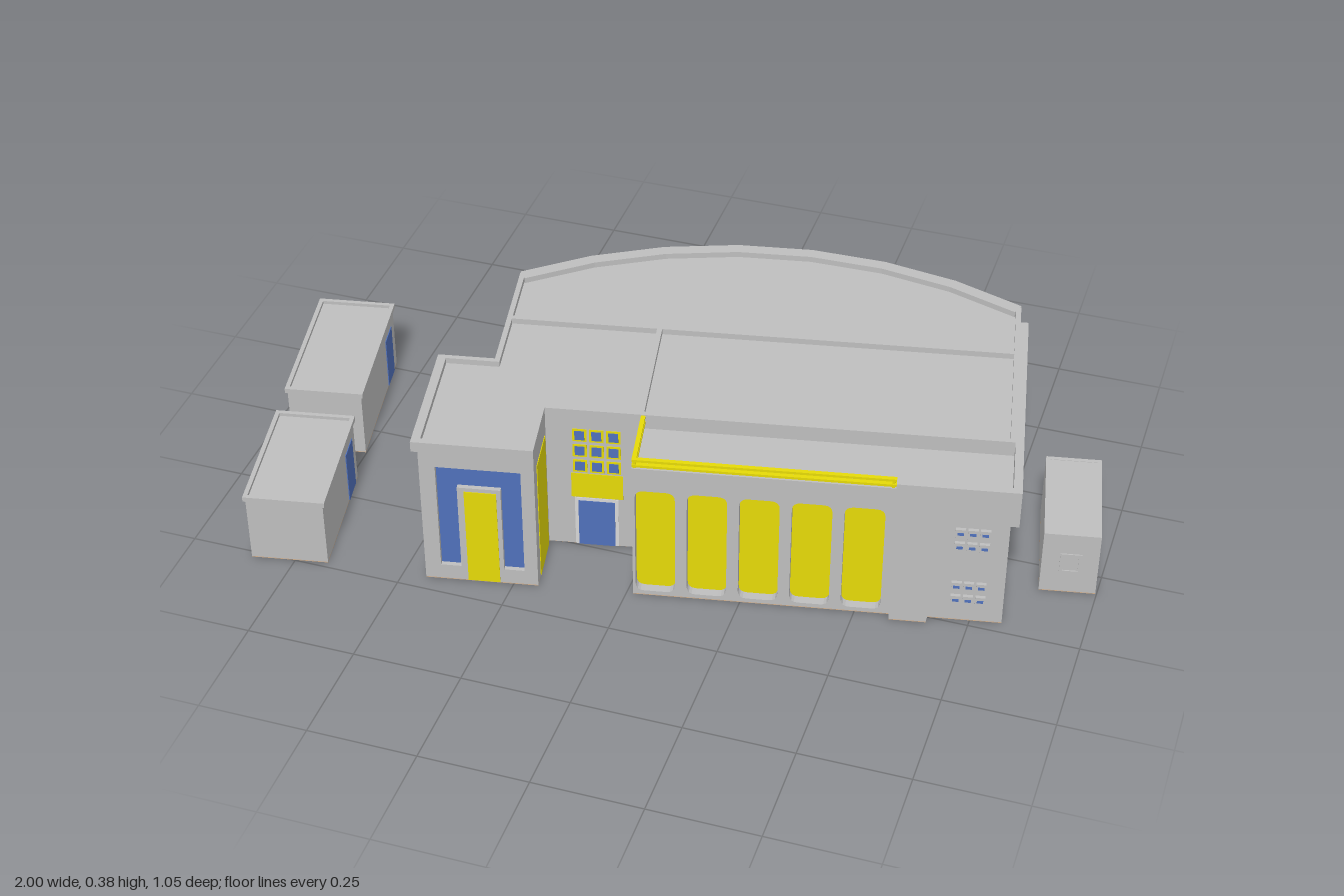
import * as THREE from 'three';

const mat = (name, color) => {
  const m = new THREE.MeshStandardMaterial({ color });
  m.name = name;
  return m;
};

export function createModel() {
  const grey = mat('concrete grey', 0xbebebe);
  const pale = mat('pale frame grey', 0xd6d6d6);
  const yellow = mat('yellow', 0xe6da08);
  const blue = mat('blue', 0x5070ba);
  const brown = mat('foundation brown', 0xcfae8c);

  const root = new THREE.Group();
  const site = new THREE.Group();
  site.name = 'site';
  site.rotation.y = 0.19;
  root.add(site);

  const add = (name, geo, material, parent = site) => {
    const m = new THREE.Mesh(geo, material);
    m.name = name;
    parent.add(m);
    return m;
  };
  // Box given by its two corners
  const box = (name, material, x0, x1, y0, y1, z0, z1, parent = site) => {
    const g = new THREE.BoxGeometry(x1 - x0, y1 - y0, z1 - z0);
    g.translate((x0 + x1) / 2, (y0 + y1) / 2, (z0 + z1) / 2);
    return add(name, g, material, parent);
  };
  const polygon = (pts) => new THREE.Shape(pts.map(([x, y]) => new THREE.Vector2(x, y)));
  // Floor plan (x, z) raised from y0 to y1
  const plan = (name, material, pts, y0, y1) => {
    const g = new THREE.ExtrudeGeometry(polygon(pts.map(([x, z]) => [x, -z])),
      { depth: y1 - y0, bevelEnabled: false });
    g.rotateX(-Math.PI / 2).translate(0, y0, 0);
    return add(name, g, material);
  };
  // Upright wall panel (x, y) with holes, from z0 to z1
  const panel = (name, material, pts, holes, z0, z1, parent = site) => {
    const s = polygon(pts);
    s.holes = holes;
    const g = new THREE.ExtrudeGeometry(s, { depth: z1 - z0, bevelEnabled: false, curveSegments: 4 });
    return add(name, g.translate(0, 0, z0), material, parent);
  };
  const rect = (x0, x1, y0, y1) => [[x0, y0], [x1, y0], [x1, y1], [x0, y1]];
  const roundRect = (x0, x1, y0, y1, r) => {
    const s = new THREE.Path();
    s.moveTo(x0 + r, y0).lineTo(x1 - r, y0).quadraticCurveTo(x1, y0, x1, y0 + r);
    s.lineTo(x1, y1 - r).quadraticCurveTo(x1, y1, x1 - r, y1);
    s.lineTo(x0 + r, y1).quadraticCurveTo(x0, y1, x0, y1 - r);
    s.lineTo(x0, y0 + r).quadraticCurveTo(x0, y0, x0 + r, y0);
    return s;
  };

  const B = 0.002, ROOF = 0.368, TOP = 0.382;
  const R = 1.06, CX = 0.1765, CZ = 0.578, STEP = 9.6 * Math.PI / 180;

  // Main hall, with a seven-sided curved back
  const arc = (r) => Array.from({ length: 8 }, (_, i) => {
    const a = (i - 3.5) * STEP;
    return [CX + r * Math.sin(a), CZ - r * Math.cos(a)];
  });
  plan('mainHall', grey, [[-0.41, -0.304], ...arc(R - 0.029), [0.763, -0.304],
    [0.763, 0.212], [-0.41, 0.212]], B, ROOF);
  plan('mainFoundation', brown, [...arc(R), [0.763, 0.37], [0.597, 0.37], [0.597, 0.388],
    [0.515, 0.388], [0.515, 0.37], [-0.056, 0.37], [-0.056, 0.21], [-0.27, 0.21], [-0.27, 0.369],
    [-0.525, 0.369], [-0.525, 0.044], [-0.41, 0.044]], 0, B);

  // Back window bays with vertical fins and paired transoms
  const half = R * Math.sin(STEP / 2), rho = R * Math.cos(STEP / 2);
  for (let i = 0; i < 7; i++) {
    const a = (i - 3) * STEP;
    const bay = new THREE.Group();
    bay.name = 'backBay';
    bay.position.set(CX + rho * Math.sin(a), 0, CZ - rho * Math.cos(a));
    bay.rotation.y = Math.PI - a;
    site.add(bay);
    panel('bayWall', grey, rect(-half, half, B, TOP),
      [polygon(rect(-0.066, 0.066, 0.028, 0.36))], -0.03, 0, bay);
    box('bayGlass', blue, -0.067, 0.067, 0.027, 0.361, -0.0285, -0.025, bay);
    for (const x of [-0.022, 0.022])
      box('bayFin', pale, x - 0.004, x + 0.004, 0.028, 0.36, -0.026, -0.004, bay);
    for (let k = 0; k < 5; k++) {
      const y = 0.055 + k * 0.065;
      box('bayTransom', grey, -0.066, 0.066, y, y + 0.007, -0.026, -0.014, bay);
      box('bayTransom', pale, -0.066, 0.066, y + 0.016, y + 0.02, -0.026, -0.018, bay);
    }
  }

  // Roof parapets: x0, x1, z0, z1
  [[-0.41, -0.398, -0.3, 0.05], [-0.27, -0.06, 0.2, 0.212], [-0.06, 0.763, 0.2, 0.212],
    [-0.062, -0.05, -0.12, 0.2], [-0.41, 0.763, -0.126, -0.114], [0.751, 0.763, -0.3, 0.212],
    [-0.53, -0.27, 0.357, 0.369], [-0.282, -0.27, 0.2, 0.369],
    [-0.53, -0.398, 0.044, 0.056]].forEach(([x0, x1, z0, z1]) =>
    box('parapet', grey, x0, x1, ROOF - 0.005, TOP, z0, z1));

  // Front hall with five rounded openings
  box('frontHall', grey, -0.056, 0.763, B, 0.345, 0.2, 0.345);
  const openings = [];
  for (let i = 0; i < 5; i++) {
    const x = -0.05 + i * 0.1142;
    openings.push(roundRect(x, x + 0.088, 0.012, 0.295, 0.02));
  }
  panel('frontFacade', grey, rect(-0.056, 0.515, B, 0.356), openings, 0.344, 0.37);
  box('gatePanels', yellow, -0.052, 0.51, 0.008, 0.3, 0.344, 0.349);
  // Two-bar roof rail, returning along the left edge
  for (const [y0, y1] of [[0.36, 0.366], [0.374, 0.38]]) {
    box('roofRail', yellow, -0.056, 0.515, y0, y1, 0.36, 0.37);
    box('roofRail', yellow, -0.056, -0.046, y0, y1, 0.212, 0.36);
  }
  for (const x of [-0.054, 0.505])
    box('railPost', yellow, x, x + 0.006, 0.34, 0.376, 0.361, 0.368);

  // Right corner block with slanted pier and overhanging band
  box('cornerBlock', grey, 0.515, 0.763, B, 0.345, 0.335, 0.37);
  panel('slantedPier', grey, [[0.515, B], [0.597, B], [0.643, 0.29], [0.781, 0.29],
    [0.781, TOP], [0.515, TOP]], [], 0.37, 0.388);
  box('sideBand', grey, 0.762, 0.781, 0.29, TOP, -0.24, 0.372);
  for (const y of [0.05, 0.088, 0.2, 0.238])
    for (let i = 0; i < 3; i++) {
      const x = 0.647 + i * 0.027;
      box('cornerWindowFrame', grey, x, x + 0.022, y, y + 0.024, 0.369, 0.378);
      box('cornerWindowPane', blue, x + 0.004, x + 0.018, y + 0.009, y + 0.016, 0.377, 0.379);
    }

  // Left wing
  box('wing', grey, -0.525, -0.27, B, ROOF, 0.044, 0.355);
  box('wingBand', grey, -0.54, -0.52, 0.356, TOP, 0.044, 0.369);
  panel('wingFront', grey, rect(-0.525, -0.27, B, TOP), [polygon([[-0.489, 0.04], [-0.443, 0.04],
    [-0.443, 0.265], [-0.346, 0.265], [-0.346, 0.04], [-0.3, 0.04], [-0.3, 0.318],
    [-0.489, 0.318]])], 0.353, 0.369);
  box('wingBlueArch', blue, -0.495, -0.295, 0.035, 0.322, 0.353, 0.358);
  box('wingDoor', yellow, -0.428, -0.356, B, 0.255, 0.366, 0.3705);
  box('wingSidePanel', yellow, -0.272, -0.2685, B, 0.315, 0.225, 0.335);
  for (const y of [0.04, 0.115, 0.19, 0.265])
    for (let i = 0; i < 3; i++) {
      const z = 0.115 + i * 0.058;
      box('wingWindowFrame', grey, -0.533, -0.52, y, y + 0.03, z, z + 0.05);
    }

  // Recessed entrance: door, yellow panel and a grid of small windows
  box('entranceFrame', pale, -0.208, -0.109, B, 0.136, 0.21, 0.2135);
  box('entranceDoor', blue, -0.2, -0.117, B, 0.128, 0.21, 0.215);
  box('entrancePanel', yellow, -0.215, -0.098, 0.138, 0.205, 0.21, 0.2135);
  for (let r = 0; r < 3; r++)
    for (let c = 0; c < 3; c++) {
      const x = -0.21 + c * 0.038, y = 0.21 + r * 0.043;
      box('gridWindowFrame', yellow, x, x + 0.032, y, y + 0.034, 0.21, 0.2135);
      box('gridWindowPane', blue, x + 0.005, x + 0.027, y + 0.005, y + 0.029, 0.21, 0.215);
    }

  // Outbuildings; each has a blue door on its +x side
  const outbuilding = (name, x0, x1, z0, z1, h, lip, d0, d1) => {
    const g = new THREE.Group();
    g.name = name;
    site.add(g);
    box('foundation', brown, x0, x1, 0, B, z0, z1, g);
    box('walls', grey, x0, x1, B, h - 0.008, z0, z1, g);
    const t = 0.01, X0 = x0 - lip, X1 = x1 + lip, Z0 = z0 - lip, Z1 = z1 + lip;
    for (const [a, b, c, d] of [[X0, X0 + t, Z0, Z1], [X1 - t, X1, Z0, Z1],
      [X0 + t, X1 - t, Z0, Z0 + t], [X0 + t, X1 - t, Z1 - t, Z1]])
      box('roofEdge', grey, a, b, h - 0.012, h, c, d, g);
    box('door', blue, x1 - 0.002, x1 + 0.002, B, 0.133, d0, d1, g);
    return g;
  };
  outbuilding('leftRearOutbuilding', -0.931, -0.755, -0.422, -0.059, 0.176, 0.005, -0.39, -0.325);
  outbuilding('leftFrontOutbuilding', -0.931, -0.755, 0.034, 0.348, 0.176, 0.005, 0.06, 0.125);
  const kiosk = outbuilding('rightOutbuilding', 0.842, 0.968, -0.03, 0.247, 0.163, 0, -0.004, 0.07);
  box('kioskRoof', grey, 0.843, 0.967, 0.15, 0.162, -0.029, 0.246, kiosk);
  panel('kioskWindowFrame', grey, rect(0.882, 0.93, 0.056, 0.11),
    [polygon(rect(0.889, 0.923, 0.063, 0.103))], 0.246, 0.25, kiosk);

  return root;
}
